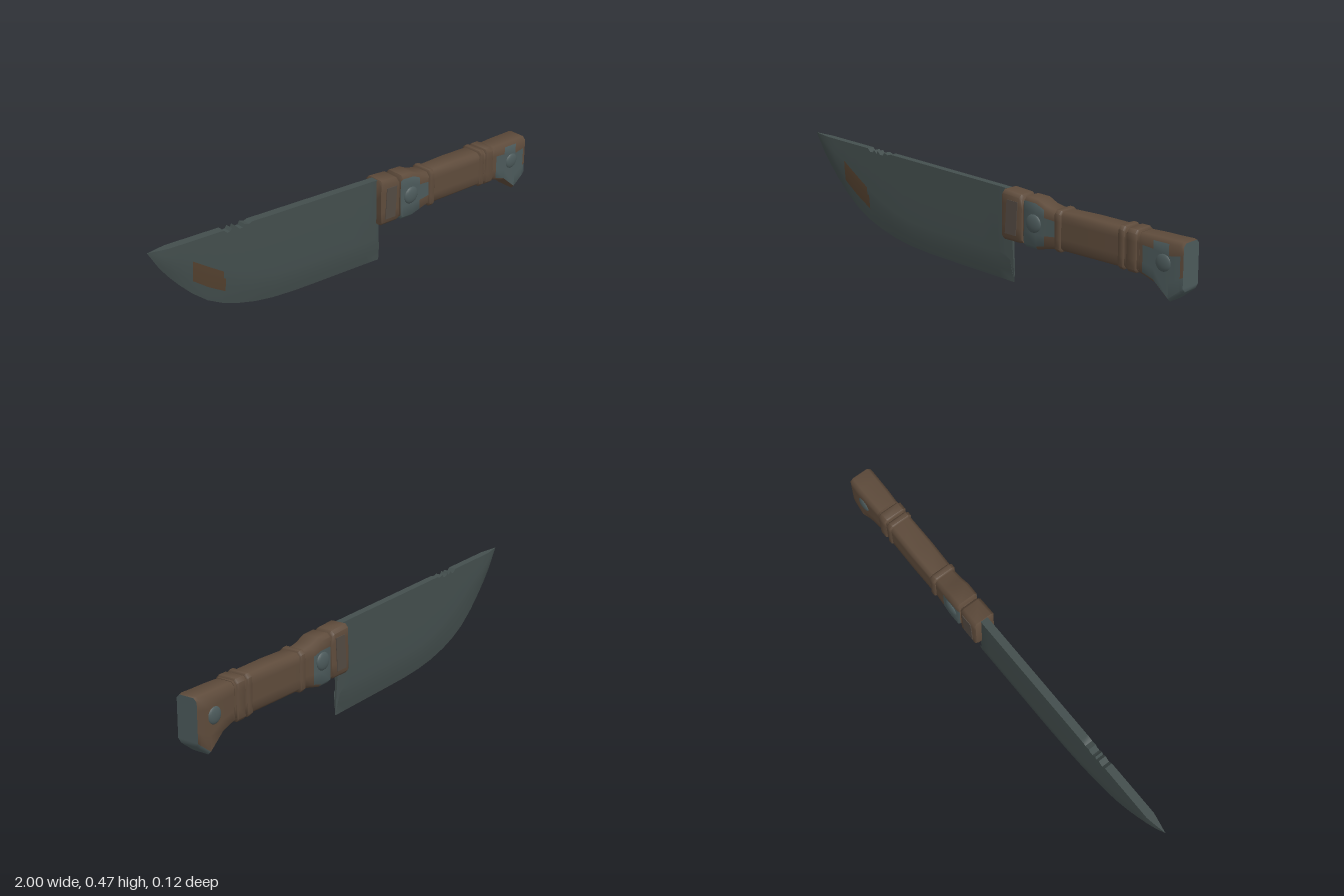
import * as THREE from 'three';
import { toCreasedNormals } from 'three/addons/utils/BufferGeometryUtils.js';

const mat = (name, color) => {
  const m = new THREE.MeshStandardMaterial({ color });
  m.name = name;
  return m;
};

// Skin a row of closed rings running along +x; pick(i, j) gives the material index of each quad
function loft(rings, pick = () => 0, crease = 0.9, capStart = 0, capEnd = 0) {
  const n = rings[0].length;
  const buckets = [];
  const add = (k, ...ids) => (buckets[k] ??= []).push(...ids);
  for (let i = 0; i < rings.length - 1; i++) {
    for (let j = 0; j < n; j++) {
      const k = (j + 1) % n;
      const a = i * n + j, b = a + n, d = i * n + k, c = d + n;
      add(pick(i, j), a, d, c, a, c, b);
    }
  }
  const last = (rings.length - 1) * n;
  for (let j = 1; j < n - 1; j++) {
    add(capStart, 0, j + 1, j);
    add(capEnd, last, last + j, last + j + 1);
  }
  const geo = new THREE.BufferGeometry();
  geo.setAttribute('position', new THREE.Float32BufferAttribute(rings.flat(2), 3));
  const index = [];
  buckets.forEach((ids, k) => {
    geo.addGroup(index.length, ids.length, k);
    index.push(...ids);
  });
  geo.setIndex(index);
  return toCreasedNormals(geo, crease);
}

// Chamfered rectangle: back side up (0-2), top (3-5), front side down (6-8), bottom (9-11)
function boxRing([x, y0, y1, h, c = 0.014]) {
  const lo = y0 + c, hi = y1 - c;
  const rows = [0, 0.28, 0.78, 1].map((t) => lo + (hi - lo) * t);
  return [
    ...rows.map((y) => [x, y, -h]),
    [x, y1, c - h], [x, y1, h - c],
    ...rows.reverse().map((y) => [x, y, h]),
    [x, y0, h - c], [x, y0, c - h],
  ];
}

// Cutting edge from tip to heel, and dents along the spine as [x, depth]
const EDGE = [[-1, 0.475], [-0.95, 0.39], [-0.91, 0.337], [-0.87, 0.29], [-0.81, 0.227], [-0.74, 0.168],
  [-0.67, 0.127], [-0.6, 0.097], [-0.51, 0.069], [-0.42, 0.05], [-0.31, 0.036], [-0.2, 0.027], [0.0, 0.012], [0.08, 0.006]];
const DENTS = [[-0.66, 0], [-0.645, 0.014], [-0.632, 0.012], [-0.622, 0], [-0.608, 0.014], [-0.595, 0.007],
  [-0.585, 0.014], [-0.57, 0.013], [-0.562, 0], [-0.54, 0.006], [-0.525, 0]];

function edgeY(x) {
  for (let i = 1; i < EDGE.length; i++) {
    const [x0, y0] = EDGE[i - 1], [x1, y1] = EDGE[i];
    if (x <= x1) return y0 + ((y1 - y0) * (x - x0)) / (x1 - x0);
  }
  return 0;
}

// Blade section: spine, flat, bevel line, half bevel, edge
function bladeRing(pts, h) {
  const [spine, flat, bevel, half, edge] = pts;
  const side = [[half, 0.55 * h], [bevel, 0.9 * h], [flat, h], [spine, h]];
  return [
    [...edge, 0],
    ...side.map(([p, w]) => [...p, -w]),
    ...side.reverse().map(([p, w]) => [...p, w]),
  ];
}

function bladeGeometry() {
  const dent = new Map(DENTS);
  const xs = [...new Set([...EDGE.map((p) => p[0]), ...dent.keys()])].sort((a, b) => a - b);
  const rings = xs.map((x) => {
    const bottom = edgeY(x), top = 0.4 - 0.075 * x - (dent.get(x) ?? 0);
    const tall = top - bottom;
    const b = Math.min(0.5 * tall, 0.088 + 0.04 * THREE.MathUtils.smoothstep(-x, 0.4, 0.8));
    const f = Math.min(0.7 * tall, b + 0.03);
    const ys = [top, bottom + f, bottom + b, bottom + b / 2, bottom];
    return bladeRing(ys.map((y) => [x, y]), Math.min(0.017, (x + 1) * 0.2));
  });
  // Stepped heel
  rings.push(bladeRing([[0.14, 0.389], [0.118, 0.115], [0.144, 0.095], [0.149, 0.05], [0.155, 0]], 0.017));
  // Rust on the front bevel
  const rusty = (i, j) => (j === 7 && xs[i] > -0.85 && xs[i] < -0.665
    || j === 6 && xs[i] > -0.82 && xs[i] < -0.73 ? 1 : 0);
  return loft(rings, rusty, 0.6);
}

export function createModel() {
  const blade = mat('bladeSteel', 0x434e4d);
  const steel = mat('fittingSteel', 0x4c5a5b);
  const brown = mat('brownWrap', 0x5e4b3b);
  const worn = mat('wornBrown', 0x534a42);
  const rust = mat('rust', 0x54412f);

  const model = new THREE.Group();
  model.name = 'knife';
  const add = (name, geo, material) => {
    const mesh = new THREE.Mesh(geo, material);
    mesh.name = name;
    model.add(mesh);
    return mesh;
  };
  const part = (name, sections, materials, pick, capStart, capEnd) =>
    add(name, loft(sections.map(boxRing), pick, 0.9, capStart, capEnd), materials);

  add('blade', bladeGeometry(), [blade, rust]);

  // Collar at the blade root with a worn panel on each side
  part('collar', [[0.126, 0.19, 0.385, 0.045], [0.132, 0.186, 0.392, 0.049], [0.218, 0.182, 0.382, 0.049],
    [0.228, 0.184, 0.374, 0.045]], [brown]);
  for (const s of [1, -1]) {
    const panel = add('collarPanel', new THREE.BoxGeometry(0.056, 0.14, 0.006), worn);
    panel.position.set(0.178, 0.283, s * 0.049);
    panel.rotation.z = -0.06;
  }
  part('neck', [[0.22, 0.2, 0.36, 0.036], [0.25, 0.2, 0.36, 0.036]], [brown]);

  // Flared guard: steel sides at the front, brown towards the grip
  part('guard', [[0.238, 0.184, 0.37, 0.044], [0.246, 0.175, 0.38, 0.05], [0.305, 0.172, 0.375, 0.051],
    [0.345, 0.18, 0.355, 0.049], [0.405, 0.192, 0.342, 0.047]], [brown, steel],
  (i, j) => ((j >= 6 && j <= 8 && (i < 3 || j === 7)) || (j <= 1 && i < 3) || (j >= 9 && i < 2) ? 1 : 0), 0, 0);

  // Grip with raised bands
  part('grip', [[0.4, 0.19, 0.345, 0.048], [0.56, 0.184, 0.341, 0.051], [0.8, 0.172, 0.328, 0.049]], [brown]);
  const bands = [[0.398, 0.43, 0.183, 0.352], [0.703, 0.733, 0.171, 0.341], [0.742, 0.79, 0.168, 0.337]];
  for (const [x0, x1, y0, y1] of bands) {
    part('gripBand', [[x0, y0 + 0.006, y1 - 0.006, 0.05], [x0 + 0.006, y0, y1, 0.055],
      [x1 - 0.006, y0 - 0.002, y1 - 0.002, 0.055], [x1, y0 + 0.004, y1 - 0.008, 0.05]], [brown]);
  }

  // Hooked pommel: steel front panel and end face, brown rim and back
  part('pommel', [[0.785, 0.172, 0.326, 0.047], [0.815, 0.164, 0.326, 0.049], [0.865, 0.146, 0.325, 0.051],
    [0.935, 0.084, 0.322, 0.052], [0.985, 0.122, 0.321, 0.052], [0.998, 0.133, 0.318, 0.05]], [brown, steel],
  (i, j) => ((j === 7 && i > 0 && i < 4) || (j === 8 && i > 0) || (j >= 9 && i > 2) || (j === 6 && i === 2) ? 1 : 0), 0, 1);

  // Domed rivets on both sides
  for (const [x, y, r] of [[0.292, 0.278, 0.038], [0.91, 0.232, 0.035]]) {
    for (const s of [1, -1]) {
      const rivet = add('rivet', new THREE.SphereGeometry(r, 20, 12), steel);
      rivet.scale.z = 0.34;
      rivet.position.set(x, y, s * 0.049);
    }
  }
  return model;
}
